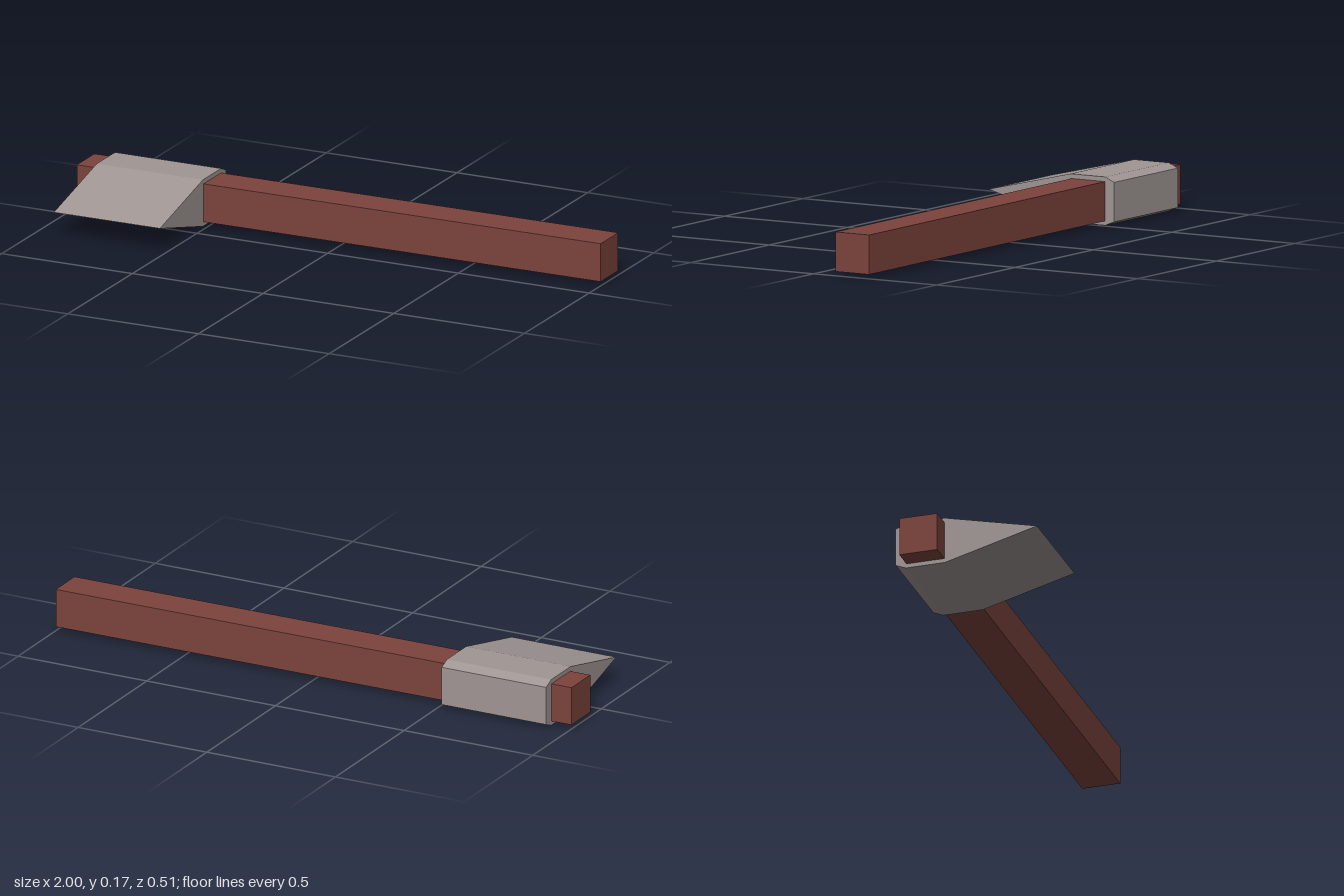
import * as THREE from 'three';

export function createModel() {
  const wood = new THREE.MeshStandardMaterial({ color: 0x7c433c });
  wood.name = 'redBrownWood';
  const steel = new THREE.MeshStandardMaterial({ color: 0xa09694 });
  steel.name = 'greySteel';
  const group = new THREE.Group();
  group.name = 'axe';

  // Square handle, turned very slightly from the x axis
  const handle = new THREE.Mesh(new THREE.BoxGeometry(2, 0.137, 0.137), wood);
  handle.name = 'handle';
  handle.position.set(0, 0.0835, -0.153);
  handle.rotation.y = 0.0045;
  group.add(handle);

  // Axe head: wedge profile (z, y) with a chamfered back, swept along x
  const profile = [
    [0.255, 0.089], [-0.078, 0.168], [-0.219, 0.168], [-0.256, 0.152],
    [-0.256, 0.015], [-0.219, 0], [-0.078, 0],
  ].map(([z, y]) => new THREE.Vector2(z, y));
  const headGeometry = new THREE.ExtrudeGeometry(new THREE.Shape(profile), {
    depth: 0.406, bevelEnabled: false,
  });
  headGeometry.rotateY(-Math.PI / 2);
  const head = new THREE.Mesh(headGeometry, steel);
  head.name = 'axeHead';
  head.position.x = -0.516;
  group.add(head);

  return group;
}
